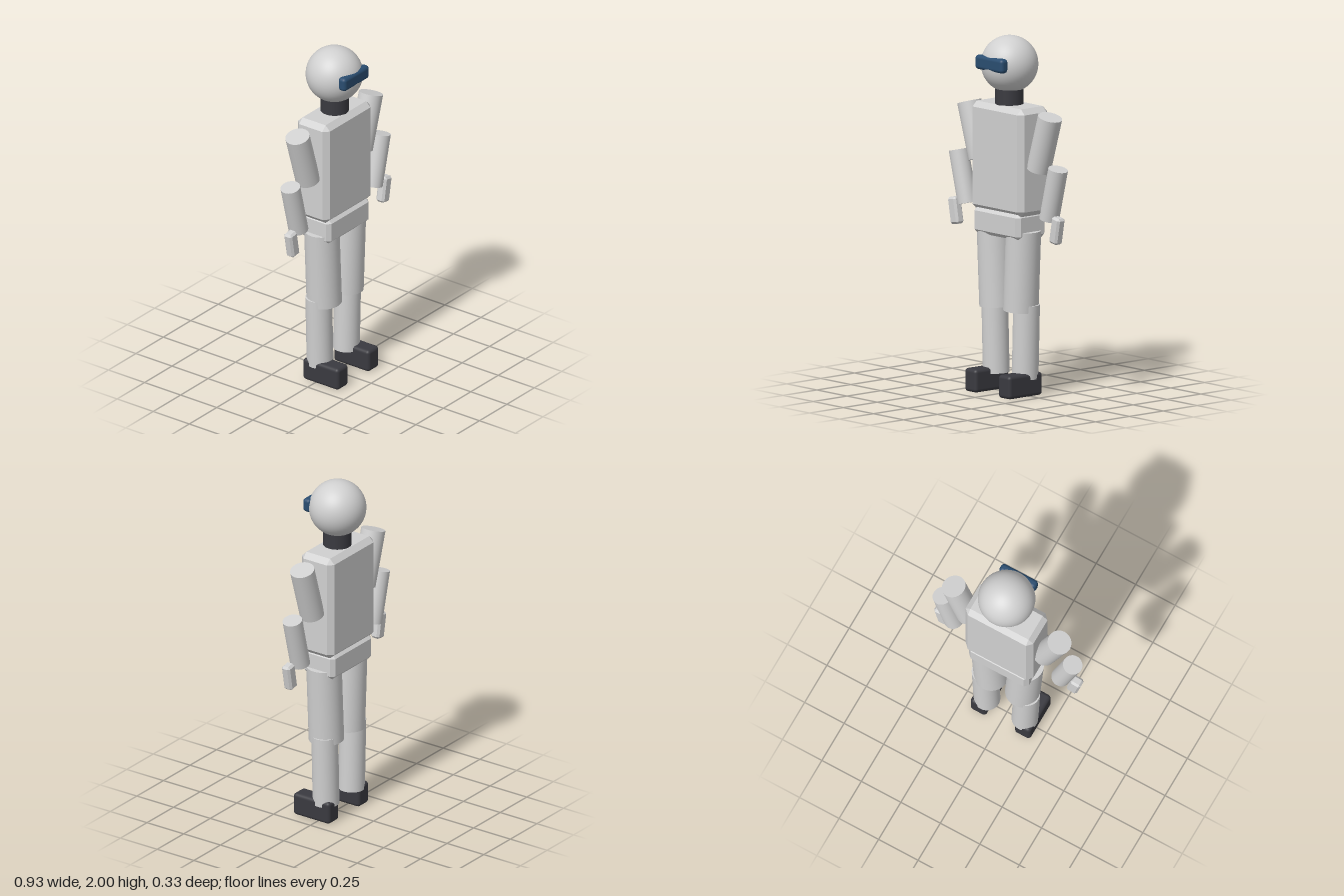
import * as THREE from 'three';
import { RoundedBoxGeometry } from 'three/addons/geometries/RoundedBoxGeometry.js';
import { ConvexGeometry } from 'three/addons/geometries/ConvexGeometry.js';

const shell = new THREE.MeshStandardMaterial({ color: 0xd0d0d0 });
shell.name = 'light grey shell';
const dark = new THREE.MeshStandardMaterial({ color: 0x3a3a40 });
dark.name = 'dark rubber';
const glass = new THREE.MeshStandardMaterial({ color: 0x2a4d70 });
glass.name = 'blue visor';

// Box with every edge cut flat by c
function chamferBox(w, h, d, c) {
  const x = w / 2, y = h / 2, z = d / 2, points = [];
  for (const sx of [-1, 1]) for (const sy of [-1, 1]) for (const sz of [-1, 1]) {
    points.push(
      new THREE.Vector3(sx * x, sy * (y - c), sz * (z - c)),
      new THREE.Vector3(sx * (x - c), sy * y, sz * (z - c)),
      new THREE.Vector3(sx * (x - c), sy * (y - c), sz * z));
  }
  return new ConvexGeometry(points);
}

const rod = (r, length) => new THREE.CylinderGeometry(r, r, length, 40);

export function createModel() {
  const model = new THREE.Group();
  model.name = 'robot';

  function add(name, geometry, material, x, y, z, tilt = 0) {
    const mesh = new THREE.Mesh(geometry, material);
    mesh.name = name;
    mesh.position.set(x, y, z);
    mesh.rotation.z = tilt;
    model.add(mesh);
  }

  // Head, visor sunk into the face, and neck
  add('head', new THREE.SphereGeometry(0.159, 48, 32), shell, 0, 1.841, -0.005);
  add('visor', new RoundedBoxGeometry(0.23, 0.08, 0.052, 3, 0.02), glass, 0, 1.855, 0.129);
  add('neck', rod(0.079, 0.13), dark, 0, 1.655, -0.003);

  // Body
  add('torso', chamferBox(0.428, 0.605, 0.22, 0.03), shell, 0, 1.316, -0.006);
  add('pelvis', chamferBox(0.38, 0.15, 0.215, 0.022), shell, 0, 0.956, -0.004);

  // Separate limb segments, each leaning outward at the top
  for (const [side, s] of [['left', 1], ['right', -1]]) {
    add(side + 'UpperArm', rod(0.068, 0.32), shell, s * 0.288, 1.432, -0.006, -s * 0.3);
    add(side + 'Forearm', rod(0.055, 0.3), shell, s * 0.376, 1.16, 0.004, -s * 0.25);
    add(side + 'Hand', chamferBox(0.066, 0.152, 0.056, 0.012), shell, s * 0.42, 0.965, 0.019, -s * 0.18);
    add(side + 'Thigh', rod(0.098, 0.455), shell, s * 0.11, 0.7, 0, -s * 0.05);
    add(side + 'Shin', rod(0.074, 0.415), shell, s * 0.126, 0.303, -0.013, -s * 0.03);
    add(side + 'Foot', new RoundedBoxGeometry(0.1, 0.13, 0.248, 3, 0.02), dark, s * 0.14, 0.065, 0.04);
  }

  return model;
}
